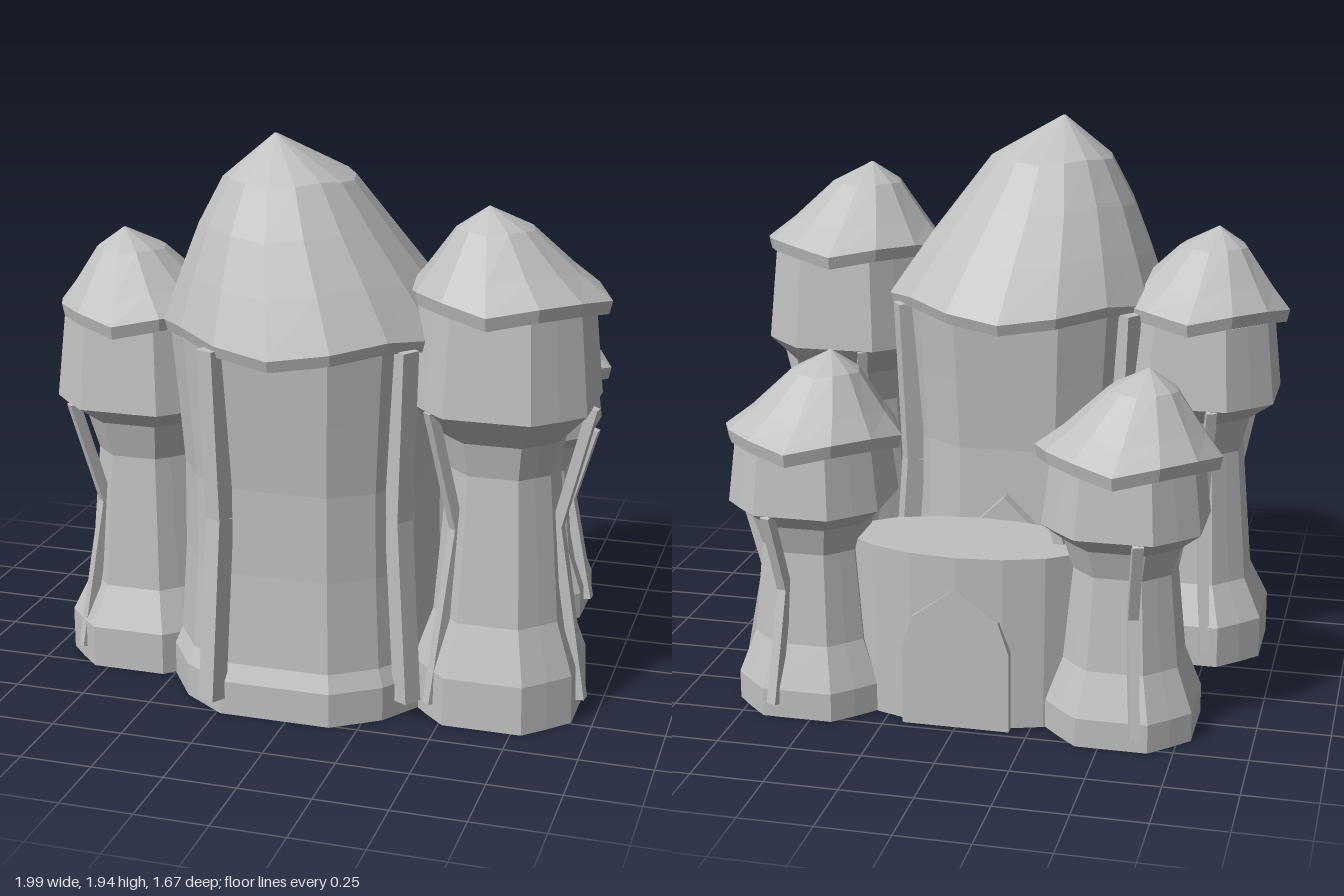
import * as THREE from 'three';

const stone = new THREE.MeshStandardMaterial({ color: 0xc0c0c0, flatShading: true, side: THREE.DoubleSide });
stone.name = 'pale grey';
const D = Math.PI / 180;

function add(parent, name, geometry) {
  const mesh = new THREE.Mesh(geometry, stone);
  mesh.name = name;
  parent.add(mesh);
  return mesh;
}

// Skin over rings of equal point count from bottom to top, open below, closed on top
function loft(rings) {
  const n = rings[0].length, pos = [], index = [];
  rings.forEach(r => r.forEach(p => pos.push(...p)));
  for (let i = 0; i < rings.length - 1; i++) {
    for (let j = 0; j < n; j++) {
      const a = i * n + j, b = i * n + (j + 1) % n, c = a + n, d = b + n;
      index.push(a, c, b, b, c, d);
    }
  }
  const last = (rings.length - 1) * n;
  for (let j = 1; j < n - 1; j++) index.push(last, last + j + 1, last + j);
  const g = new THREE.BufferGeometry();
  g.setAttribute('position', new THREE.Float32BufferAttribute(pos, 3));
  g.setIndex(index);
  g.computeVertexNormals();
  return g;
}

// Square plans with cut corners: [angle, factor on the half width]
const cornerPlan = corner => [0, 90, 180, 270].flatMap(q => corner.map(([a, f]) => [(a + q) * D, f]));
const towerPlan = cornerPlan([[26, 1.11], [45, 1.06], [64, 1.11]]);
const keepPlan = cornerPlan([[23, 1.08], [45, 1.08], [67, 1.08]]);
const roundPlan = cornerPlan([[0, 1], [22.5, 1], [45, 1], [67.5, 1]]);

const body = (plan, cx, cz, profile) => loft(profile.map(([y, rx, rz = rx]) =>
  plan.map(([a, f]) => [cx + rx * f * Math.cos(a), y, cz + rz * f * Math.sin(a)])));

// Drooping roof: four low outer points, apex pushed off centre
function roof(cx, cz, sides, profile, lean, wave, droop) {
  return loft(profile.map(([y, r, shift]) => {
    const w = 1 - shift;
    return Array.from({ length: sides }, (_, i) => {
      const a = i / sides * Math.PI * 2, c = (1 - Math.cos(4 * a)) / 2 * w;
      const rr = r * (1 - wave * c);
      return [cx + lean[0] * shift + rr * Math.cos(a), y + droop * c, cz + lean[1] * shift + rr * Math.sin(a)];
    });
  }));
}

// Bent timber made from boxes between points of [radius, height]
function brace(parent, cx, cz, deg, pts, width) {
  const g = new THREE.Group();
  g.name = 'brace';
  g.position.set(cx, 0, cz);
  g.rotation.y = -deg * D;
  for (let i = 0; i < pts.length - 1; i++) {
    const a = new THREE.Vector3(...pts[i], 0), b = new THREE.Vector3(...pts[i + 1], 0);
    const dir = b.clone().sub(a);
    const m = add(g, 'braceBeam', new THREE.BoxGeometry(width, dir.length(), width));
    m.position.copy(a).add(b).multiplyScalar(0.5);
    m.quaternion.setFromUnitVectors(new THREE.Vector3(0, 1, 0), dir.normalize());
  }
  parent.add(g);
}

function tower(parent, t) {
  const g = new THREE.Group();
  g.name = t.name;
  parent.add(g);
  add(g, 'towerBody', body(towerPlan, t.x, t.z, t.profile));
  const { rim, top, r } = t, h = top - rim;
  add(g, 'towerRoof', roof(t.x, t.z, 12, [
    [rim + 0.02, r * 0.75, 0], [rim, r * 0.97, 0], [rim + 0.045, r, 0],
    [rim + h * 0.37, r * 0.75, 0.3], [rim + h * 0.78, r * 0.38, 0.7], [top, 0.004, 1],
  ], [-0.06, 0.035], 0.11, 0.03));
  const p = t.profile;
  t.braces.forEach(deg => brace(g, t.x, t.z, deg, [
    [p[0][1] + 0.015, 0.05], [p[3][1] + 0.02, p[5][0] * 0.61], [p[5][1] + 0.005, p[5][0]],
  ], 0.036));
}

// Pointed arch slab, facing -z
function archDoor(w, h, depth) {
  const s = new THREE.Shape();
  s.moveTo(-w, 0);
  s.lineTo(w, 0);
  s.lineTo(w, h * 0.56);
  s.lineTo(w * 0.8, h * 0.78);
  s.lineTo(0, h);
  s.lineTo(-w * 0.8, h * 0.78);
  s.lineTo(-w, h * 0.56);
  return new THREE.ExtrudeGeometry(s, { depth, bevelEnabled: false });
}

export function createModel() {
  const model = new THREE.Group();
  model.name = 'castle';

  // Keep
  const keep = new THREE.Group();
  keep.name = 'keep';
  model.add(keep);
  const kx = -0.04, kz = 0.305;
  add(keep, 'keepBody', body(keepPlan, kx, kz, [
    [0, 0.46], [0.12, 0.46], [0.18, 0.435], [0.5, 0.415], [0.8, 0.412], [1.05, 0.43], [1.3, 0.45],
  ]));
  add(keep, 'keepRoof', roof(-0.03, kz, 16, [
    [1.27, 0.42, 0], [1.245, 0.515, 0], [1.285, 0.527, 0], [1.46, 0.43, 0.25], [1.63, 0.33, 0.5],
    [1.79, 0.225, 0.65], [1.94, 0.004, 1],
  ], [-0.115, 0.065], 0.045, 0.045));
  [115, 35, -33, -146].forEach(deg =>
    brace(keep, kx, kz, deg, [[0.515, 0.06], [0.465, 0.7], [0.49, 1.29]], 0.066));
  add(keep, 'keepDoor', archDoor(0.18, 0.64, 0.08)).position.set(kx, 0, -0.16);

  // Pointed post beside the keep door
  add(keep, 'doorPost', new THREE.LatheGeometry(
    [[0, 0.04], [0.03, 0.04], [0.038, 0.08], [0.02, 0.14], [0, 0.175]].map(p => new THREE.Vector2(...p)), 6,
  )).position.set(0.23, 0, -0.12);

  // Towers
  tower(model, {
    name: 'frontLeftTower', x: 0.65, z: 0.355, r: 0.345, rim: 1.4, top: 1.74, braces: [8, 131, -110],
    profile: [[0, 0.28], [0.17, 0.275], [0.35, 0.215], [0.86, 0.175], [0.98, 0.2], [1.09, 0.3], [1.42, 0.27]],
  });
  tower(model, {
    name: 'frontRightTower', x: -0.67, z: 0.255, r: 0.325, rim: 1.24, top: 1.57, braces: [10, 132, -107],
    profile: [[0, 0.27], [0.15, 0.27], [0.29, 0.205], [0.77, 0.165], [0.9, 0.2], [0.97, 0.29], [1.26, 0.26]],
  });
  for (const s of [1, -1]) {
    tower(model, {
      name: s > 0 ? 'backLeftTower' : 'backRightTower',
      x: 0.545 * s, z: -0.525, r: 0.315, rim: 0.92, top: 1.24, braces: [8, 130, s > 0 ? -72 : -107],
      profile: [[0, 0.25], [0.1, 0.25], [0.25, 0.195], [0.57, 0.165], [0.67, 0.195], [0.73, 0.265], [0.95, 0.24]],
    });
  }

  // Gatehouse between the back towers
  const gate = new THREE.Group();
  gate.name = 'gatehouse';
  model.add(gate);
  add(gate, 'gateWall', body(roundPlan, 0, -0.51, [[0, 0.41, 0.2], [0.61, 0.42, 0.207]]));
  add(gate, 'gateDoor', archDoor(0.185, 0.5, 0.06)).position.set(0, 0, -0.72);

  return model;
}
